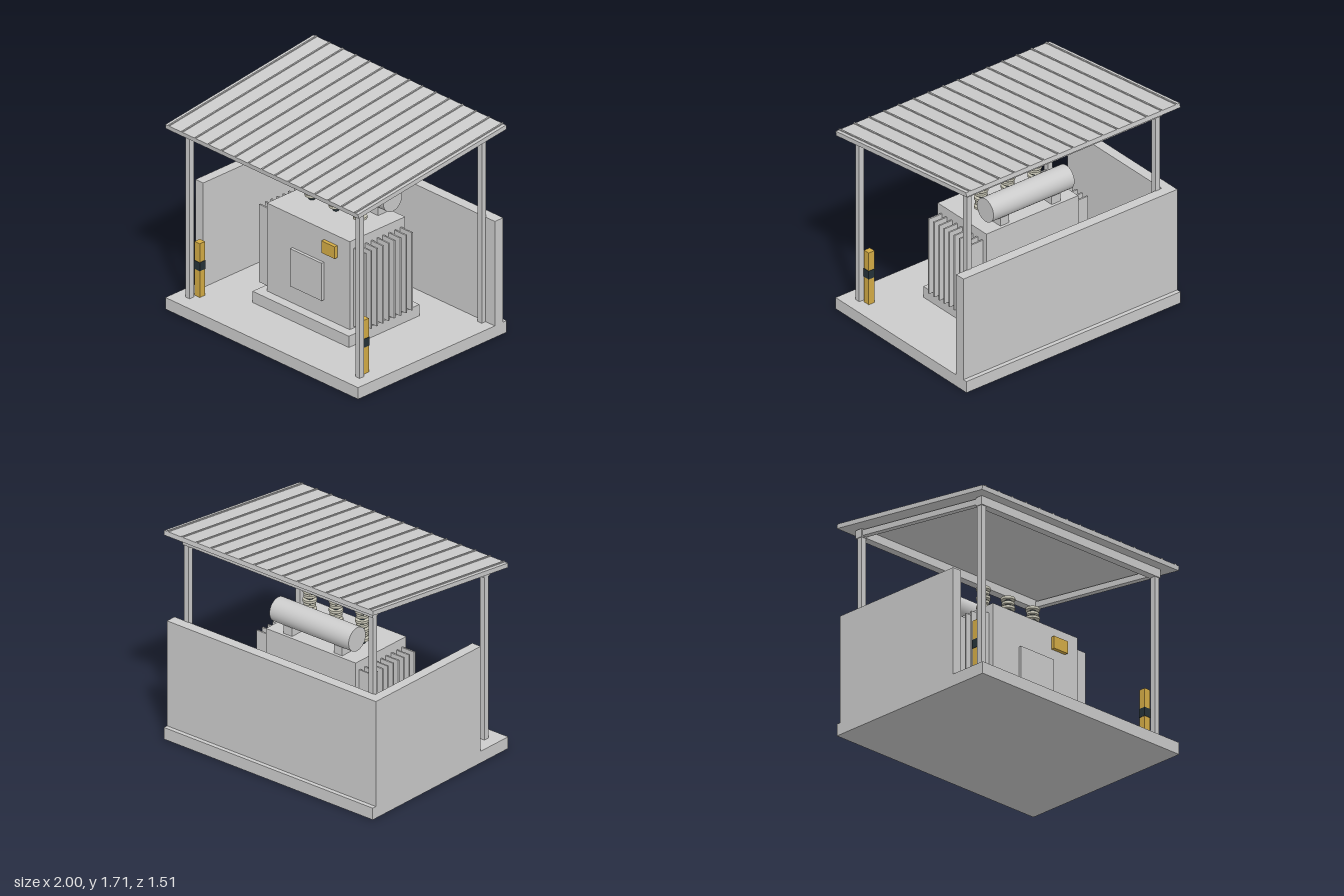
import * as THREE from 'three';

const grey = new THREE.MeshStandardMaterial({ color: 0xcccccc });
const yellow = new THREE.MeshStandardMaterial({ color: 0xd4ac46 });
const dark = new THREE.MeshStandardMaterial({ color: 0x263238 });
const ceramic = new THREE.MeshStandardMaterial({ color: 0xc8c6b6 });

function add(parent, name, geometry, material, x = 0, y = 0, z = 0) {
  const mesh = new THREE.Mesh(geometry, material);
  mesh.name = name;
  mesh.position.set(x, y, z);
  parent.add(mesh);
  return mesh;
}

// Box given by its minimum and maximum on each axis
function box(parent, name, [x0, x1], [y0, y1], [z0, z1], material = grey) {
  return add(parent, name, new THREE.BoxGeometry(x1 - x0, y1 - y0, z1 - z0), material,
    (x0 + x1) / 2, (y0 + y1) / 2, (z0 + z1) / 2);
}

function group(parent, name) {
  const g = new THREE.Group();
  g.name = name;
  parent.add(g);
  return g;
}

const around = (c, half) => [c - half, c + half];

function buildShelter(root) {
  const shelter = group(root, 'shelter');
  const slope = 0.1235;

  // Posts and sloping rafters on both sides
  for (const s of [-1, 1]) {
    const x = around(s * 0.882, 0.022);
    box(shelter, 'frontPost', x, [0.095, 1.43], around(0.625, 0.022));
    box(shelter, 'backPost', x, [0.095, 1.59], around(-0.62, 0.022));
    const rafter = add(shelter, 'rafter', new THREE.BoxGeometry(0.044, 0.045, 1.24), grey, s * 0.882, 1.533, 0);
    rafter.rotation.x = slope;
  }

  // Cross beams
  box(shelter, 'frontBeam', [-0.91, 0.91], [1.42, 1.488], around(0.625, 0.031));
  box(shelter, 'backBeam', [-0.91, 0.91], [1.575, 1.64], around(-0.622, 0.031));

  // Roof sheet with standing seams
  const roof = group(shelter, 'roof');
  roof.position.y = 1.587;
  roof.rotation.x = slope;
  add(roof, 'roofSheet', new THREE.BoxGeometry(2, 0.036, 1.52), grey);
  for (let i = -7; i <= 7; i++) {
    add(roof, 'roofSeam', new THREE.BoxGeometry(0.012, 0.008, 1.52), grey, i * 0.138, 0.022, 0);
  }
}

function buildBushing(parent, x) {
  const bushing = group(parent, 'bushing');
  bushing.position.set(x, 0, 0);
  add(bushing, 'bushingCore', new THREE.CylinderGeometry(0.024, 0.024, 0.285, 24), dark, 0, 1.0475, 0);
  for (let i = 0; i < 7; i++) {
    const r = i % 2 ? 0.046 : 0.053;
    add(bushing, 'bushingShed', new THREE.CylinderGeometry(r, r, 0.019, 28), ceramic, 0, 0.945 + i * 0.037, 0);
  }
}

function buildTransformer(root) {
  const unit = group(root, 'transformer');
  box(unit, 'plinth', [-0.5, 0.5], [0.095, 0.187], [-0.36, 0.36]);
  box(unit, 'tank', [-0.43, 0.43], [0.187, 0.907], [-0.282, 0.282]);
  box(unit, 'accessPanel', [-0.165, 0.162], [0.332, 0.64], [0.282, 0.306]);
  box(unit, 'ratingPlate', [0.165, 0.303], [0.73, 0.828], [0.282, 0.312], yellow);

  // Cooling fins on both ends
  for (const s of [-1, 1]) {
    for (let i = -4; i <= 4; i++) {
      const fin = new THREE.BoxGeometry(0.12, 0.637, 0.013);
      add(unit, 'coolingFin', fin, grey, s * 0.49, 0.52, i * 0.0593);
    }
  }

  // Oil conservator on two brackets
  const drum = add(unit, 'conservator', new THREE.CylinderGeometry(0.095, 0.095, 0.757, 48), grey, 0, 1.055, -0.206);
  drum.rotation.z = Math.PI / 2;
  for (const s of [-1, 1]) {
    box(unit, 'conservatorBracket', around(s * 0.24, 0.04), [0.9, 1.0], around(-0.206, 0.052));
  }

  for (const x of [-0.25, 0, 0.25]) buildBushing(unit, x);
}

export function createModel() {
  const root = new THREE.Group();
  root.name = 'transformerStation';

  // Slab and the two enclosing walls
  box(root, 'baseSlab', [-1, 1], [0, 0.095], [-0.757, 0.757]);
  box(root, 'backWall', [-1, 1], [0.095, 0.95], [-0.722, -0.637]);
  box(root, 'sideWall', [-1, -0.92], [0.095, 0.95], [-0.637, 0.45]);

  buildShelter(root);
  buildTransformer(root);

  // Guard bollards with a dark band
  for (const s of [-1, 1]) {
    const bollard = group(root, 'bollard');
    box(bollard, 'bollardPost', around(s * 0.85, 0.027), [0.095, 0.535], around(0.553, 0.027), yellow);
    box(bollard, 'bollardBand', around(s * 0.85, 0.03), [0.312, 0.382], around(0.553, 0.03), dark);
  }
  return root;
}
